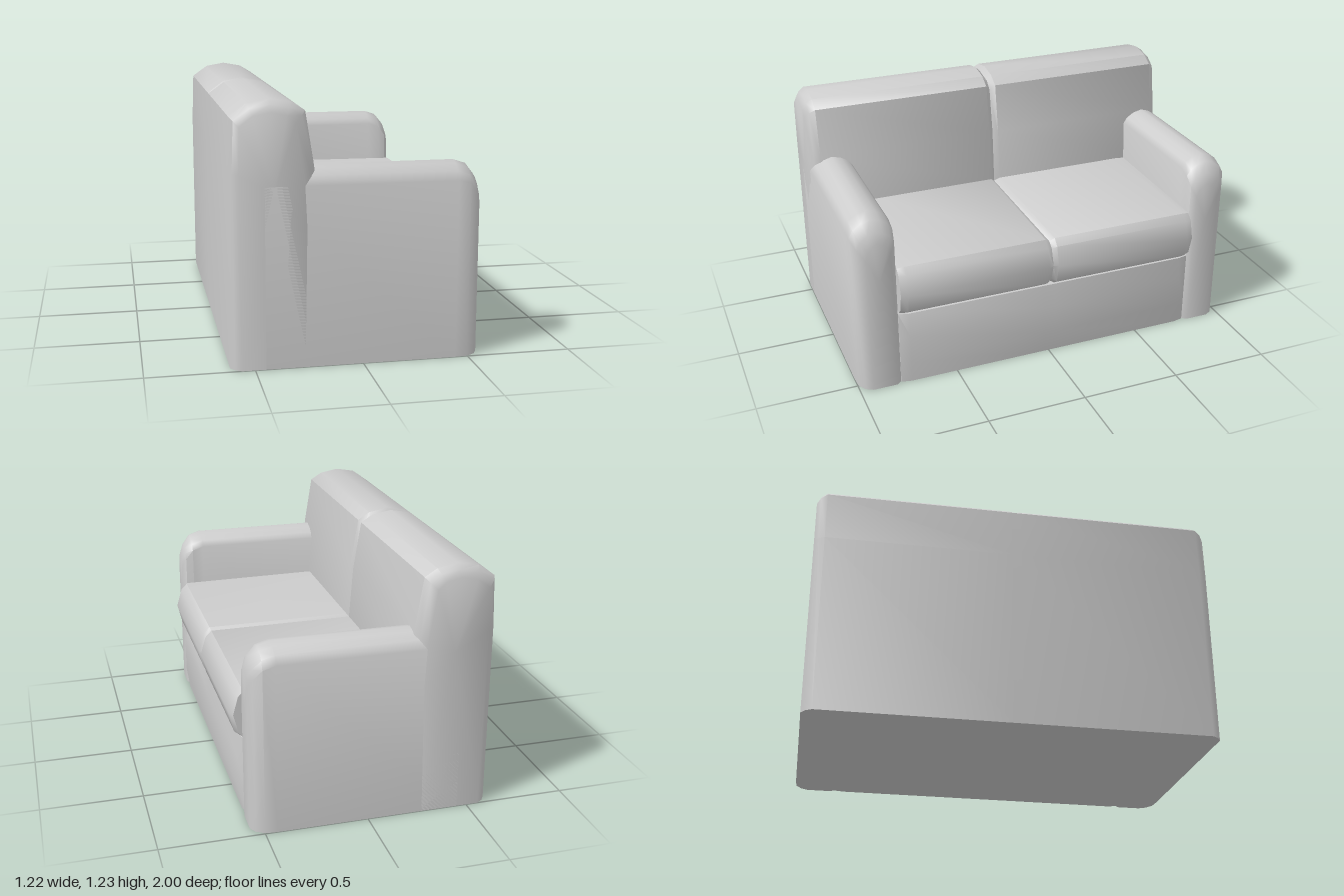
import * as THREE from 'three';
import { toCreasedNormals } from 'three/addons/utils/BufferGeometryUtils.js';

const material = new THREE.MeshStandardMaterial({ color: 0xcccccc });

// Skin a list of closed rings (counter-clockwise seen from the last ring's end) and cap both ends
function loft(name, rings, crease = 0.75) {
  const n = rings[0].length;
  const pos = rings.flat(2);
  const index = [];
  for (let k = 0; k < rings.length - 1; k++) {
    for (let i = 0; i < n; i++) {
      const a = k * n + i, b = k * n + (i + 1) % n;
      index.push(a, b, b + n, a, b + n, a + n);
    }
  }
  [[rings[0], 0, true], [rings.at(-1), (rings.length - 1) * n, false]].forEach(([ring, start, flip]) => {
    const c = pos.length / 3;
    for (let d = 0; d < 3; d++) pos.push(ring.reduce((s, p) => s + p[d], 0) / n);
    for (let i = 0; i < n; i++) {
      const a = start + i, b = start + (i + 1) % n;
      index.push(c, flip ? b : a, flip ? a : b);
    }
  });
  const geo = new THREE.BufferGeometry();
  geo.setAttribute('position', new THREE.Float32BufferAttribute(pos, 3));
  geo.setIndex(index);
  const mesh = new THREE.Mesh(toCreasedNormals(geo, crease), material);
  mesh.name = name;
  return mesh;
}

// Ring at depth z, blended from profile a towards profile b
const ringAt = (a, b, t, z) => a.map(([x, y], i) => [
  THREE.MathUtils.lerp(x, b[i][0], t), THREE.MathUtils.lerp(y, b[i][1], t), z]);

// Part running along z: rounded at both ends, with a seam groove in the middle
function seamedPart(name, full, end, groove, ends, seam) {
  const half = ends.map(([z, t]) => ringAt(full, end, t, z));
  const mirrored = half.map(r => r.map(([x, y, z]) => [x, y, -z])).reverse();
  return loft(name, [
    ...mirrored,
    ringAt(full, full, 0, -seam), ringAt(full, groove, 1, 0), ringAt(full, full, 0, seam),
    ...half,
  ]);
}

// Armrest running along x, with a rounded top and front
function arm(name, side) {
  // x, top height, inner z, outer z
  const stations = [
    [-0.45, 0.92, 0.785, 1], [0.44, 0.92, 0.785, 1], [0.5, 0.9, 0.785, 0.995],
    [0.54, 0.85, 0.79, 0.97], [0.56, 0.8, 0.815, 0.935],
  ];
  const rings = stations.map(([x, top, zi, zo]) => {
    const w = zo - zi;
    const ring = [
      [0, zi], [top - 0.065, zi], [top - 0.035, zi + w * 0.1], [top - 0.012, zi + w * 0.28],
      [top, zi + w * 0.5], [top - 0.012, zi + w * 0.7], [top - 0.04, zi + w * 0.9],
      [top - 0.08, zo], [0, zo],
    ].map(([y, z]) => [x, y, z * side]);
    return side > 0 ? ring : ring.reverse();
  });
  return loft(name, rings);
}

export function createModel() {
  const sofa = new THREE.Group();
  sofa.name = 'sofa';

  // Backrest
  const back = [[-0.61, 0], [-0.22, 0], [-0.2, 0.65], [-0.22, 0.92], [-0.26, 1.17], [-0.32, 1.207],
    [-0.42, 1.225], [-0.52, 1.207], [-0.6, 1.15], [-0.61, 0.9]];
  const backEnd = [[-0.56, 0], [-0.27, 0], [-0.26, 0.65], [-0.27, 0.86], [-0.31, 1.12], [-0.35, 1.155],
    [-0.42, 1.17], [-0.5, 1.155], [-0.56, 1.11], [-0.565, 0.9]];
  const backGroove = back.map(([x, y], i) =>
    i < 2 || i > 7 ? [x, y] : [x - (i < 5 ? 0.02 : 0), y - (i > 3 ? 0.028 : 0)]);
  sofa.add(seamedPart('backrest', back, backEnd, backGroove, [[0.95, 0], [0.98, 0.4], [1, 1]], 0.025));

  // Seat cushions
  const seat = [[-0.3, 0.395], [0.55, 0.395], [0.585, 0.42], [0.61, 0.52], [0.582, 0.615],
    [0.55, 0.648], [-0.3, 0.652]];
  const seatEnd = [[-0.3, 0.395], [0.54, 0.395], [0.57, 0.425], [0.595, 0.52], [0.57, 0.61],
    [0.54, 0.64], [-0.3, 0.648]];
  const seatGroove = [[-0.3, 0.395], [0.545, 0.41], [0.575, 0.435], [0.6, 0.52], [0.572, 0.605],
    [0.54, 0.63], [-0.3, 0.63]];
  sofa.add(seamedPart('seatCushions', seat, seatEnd, seatGroove, [[0.75, 0], [0.785, 1]], 0.025));

  // Base below the seat, with a softly bulging front
  const base = [[-0.3, 0], [0.556, 0], [0.573, 0.12], [0.573, 0.27], [0.556, 0.39], [0.535, 0.4], [-0.3, 0.4]];
  const baseEnd = base.map(([x, y]) => [Math.min(x, 0.545), y]);
  sofa.add(seamedPart('base', base, baseEnd, base, [[0.74, 0], [0.79, 1]], 0.025));

  // Armrests
  sofa.add(arm('armrestNear', 1), arm('armrestFar', -1));
  return sofa;
}
